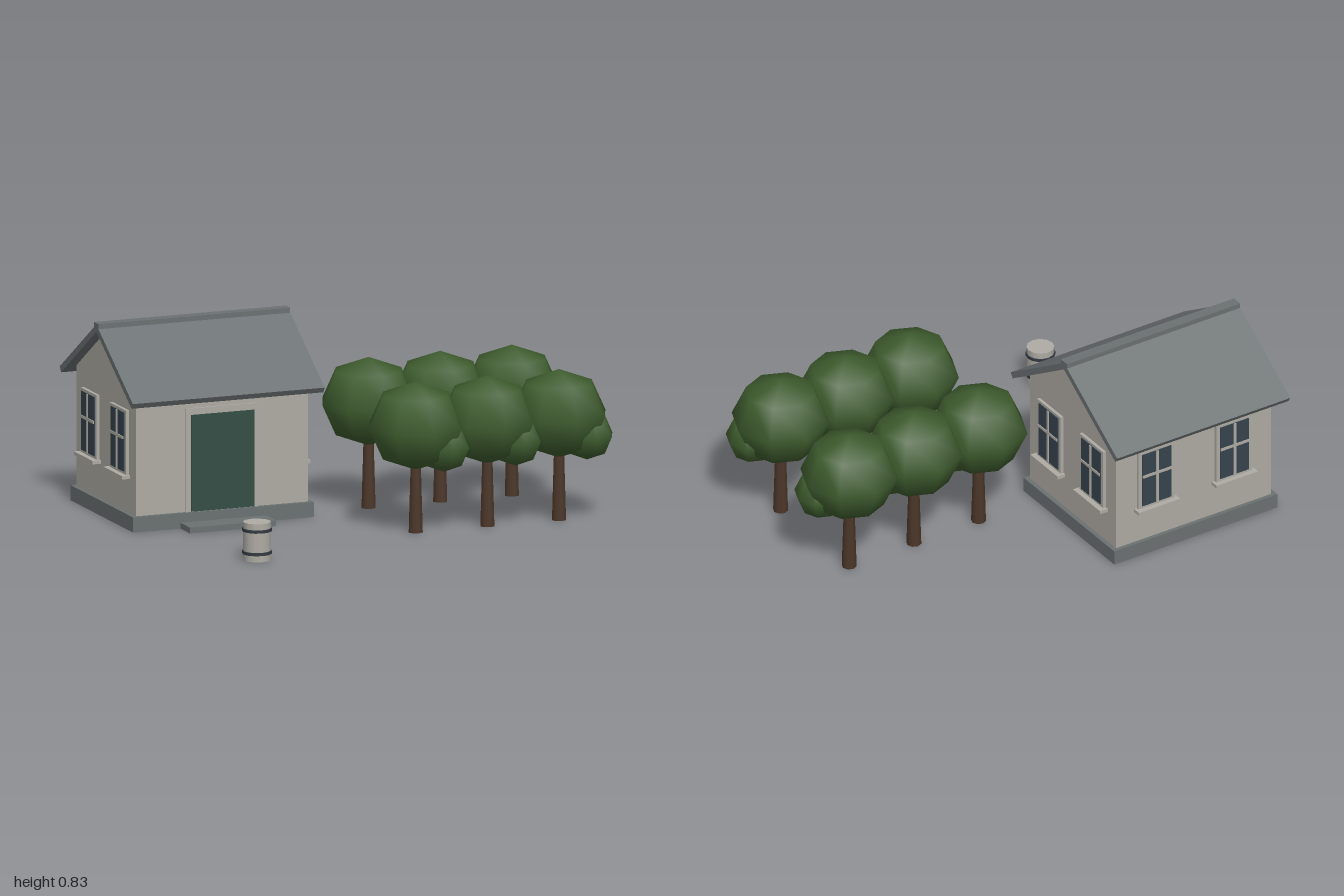
import * as THREE from 'three';

const mat = (name, hex) => {
  const m = new THREE.MeshStandardMaterial({ color: hex });
  m.name = name;
  return m;
};

export function createModel() {
  const plaster = mat('plaster', 0xaeaba3);
  const slate = mat('slate', 0x6b7072);
  const doorGreen = mat('doorGreen', 0x324d43);
  const glass = mat('glass', 0x36434e);
  const iron = mat('iron', 0x333a42);
  const bark = mat('bark', 0x4b3628);
  const leaves = mat('leaves', 0x3e5c2e);

  const model = new THREE.Group();
  model.name = 'cottageWithTrees';

  const add = (parent, name, geo, material, x = 0, y = 0, z = 0) => {
    const mesh = new THREE.Mesh(geo, material);
    mesh.name = name;
    mesh.position.set(x, y, z);
    parent.add(mesh);
    return mesh;
  };
  // Box given by its lower and upper corners
  const block = (parent, name, material, [x0, y0, z0], [x1, y1, z1]) =>
    add(parent, name, new THREE.BoxGeometry(x1 - x0, y1 - y0, z1 - z0), material,
      (x0 + x1) / 2, (y0 + y1) / 2, (z0 + z1) / 2);
  // Profile of [z, y] points extruded along x, centred on x = 0
  const extrudeX = (points, width) => {
    const shape = new THREE.Shape(points.map(([z, y]) => new THREE.Vector2(-z, y)));
    const geo = new THREE.ExtrudeGeometry(shape, { depth: width, bevelEnabled: false });
    return geo.translate(0, 0, -width / 2).rotateY(Math.PI / 2);
  };

  // House, with its own origin at the middle of the floor plan
  const house = new THREE.Group();
  house.name = 'house';
  house.position.set(-0.565, 0, -0.3475);
  model.add(house);

  const halfW = 0.39, halfD = 0.33;
  block(house, 'foundation', slate, [-0.41, 0, -0.3475], [0.41, 0.065, 0.3475]);
  block(house, 'doorStep', slate, [-0.195, 0, 0.3475], [0.195, 0.025, 0.4525]);
  add(house, 'walls', extrudeX([
    [-halfD, 0.065], [halfD, 0.065], [halfD, 0.585], [0, 0.797], [-halfD, 0.585],
  ], halfW * 2), plaster);

  // Roof slopes and ridge cap
  for (const s of [1, -1]) {
    add(house, s > 0 ? 'frontRoof' : 'backRoof', extrudeX([
      [0, 0.795], [s * 0.392, 0.543], [s * 0.407, 0.566], [0, 0.827],
    ], 0.87), slate);
  }
  block(house, 'ridgeCap', slate, [-0.435, 0.802, -0.024], [0.435, 0.833, 0.024]);

  // Door
  block(house, 'doorFrame', plaster, [-0.165, 0.065, halfD], [0.165, 0.51, halfD + 0.008]);
  block(house, 'door', doorGreen, [-0.1425, 0.067, halfD + 0.008], [0.1425, 0.482, halfD + 0.014]);

  // Windows: the local +z axis points out of the wall
  const addWindow = (x, z, turn) => {
    const w = new THREE.Group();
    w.name = 'window';
    w.position.set(x, 0.365, z);
    w.rotation.y = turn;
    house.add(w);
    block(w, 'windowFrame', plaster, [-0.09, -0.14, 0], [0.09, 0.14, 0.014]);
    block(w, 'windowGlass', glass, [-0.0725, -0.125, 0.014], [0.0725, 0.128, 0.018]);
    block(w, 'uprightBar', plaster, [-0.006, -0.125, 0.018], [0.006, 0.128, 0.022]);
    block(w, 'crossBar', plaster, [-0.0725, 0.014, 0.018], [0.0725, 0.026, 0.022]);
    block(w, 'windowSill', plaster, [-0.104, -0.152, 0], [0.104, -0.137, 0.038]);
  };
  for (const s of [1, -1]) {
    addWindow(s * 0.195, -halfD, Math.PI);
    for (const side of [1, -1]) addWindow(side * halfW, s * 0.163, side * Math.PI / 2);
  }

  // Barrel
  const barrel = new THREE.Group();
  barrel.name = 'barrel';
  barrel.position.set(-0.695, 0, 0.693);
  model.add(barrel);
  add(barrel, 'barrelBody', new THREE.CylinderGeometry(0.059, 0.059, 0.164, 12), plaster, 0, 0.082, 0);
  for (const y of [0.034, 0.131]) {
    add(barrel, 'barrelHoop', new THREE.CylinderGeometry(0.063, 0.063, 0.013, 12), iron, 0, y, 0);
  }

  // Two rows of trees
  const trunkGeo = new THREE.CylinderGeometry(0.021, 0.032, 0.36, 8);
  const crownGeo = new THREE.SphereGeometry(0.21, 8, 4).scale(1, 0.19 / 0.21, 1);
  const clumpGeo = new THREE.SphereGeometry(0.114, 8, 4).scale(1, 0.95, 1);
  for (const z of [-0.09, 0.435]) {
    for (const x of [0.13, 0.455, 0.78]) {
      const tree = new THREE.Group();
      tree.name = 'tree';
      tree.position.set(x, 0, z);
      model.add(tree);
      add(tree, 'trunk', trunkGeo, bark, 0, 0.18, 0);
      add(tree, 'crown', crownGeo, leaves, 0, 0.457, 0);
      add(tree, 'lowerClump', clumpGeo, leaves, 0.104, 0.37, 0.058);
    }
  }
  return model;
}
